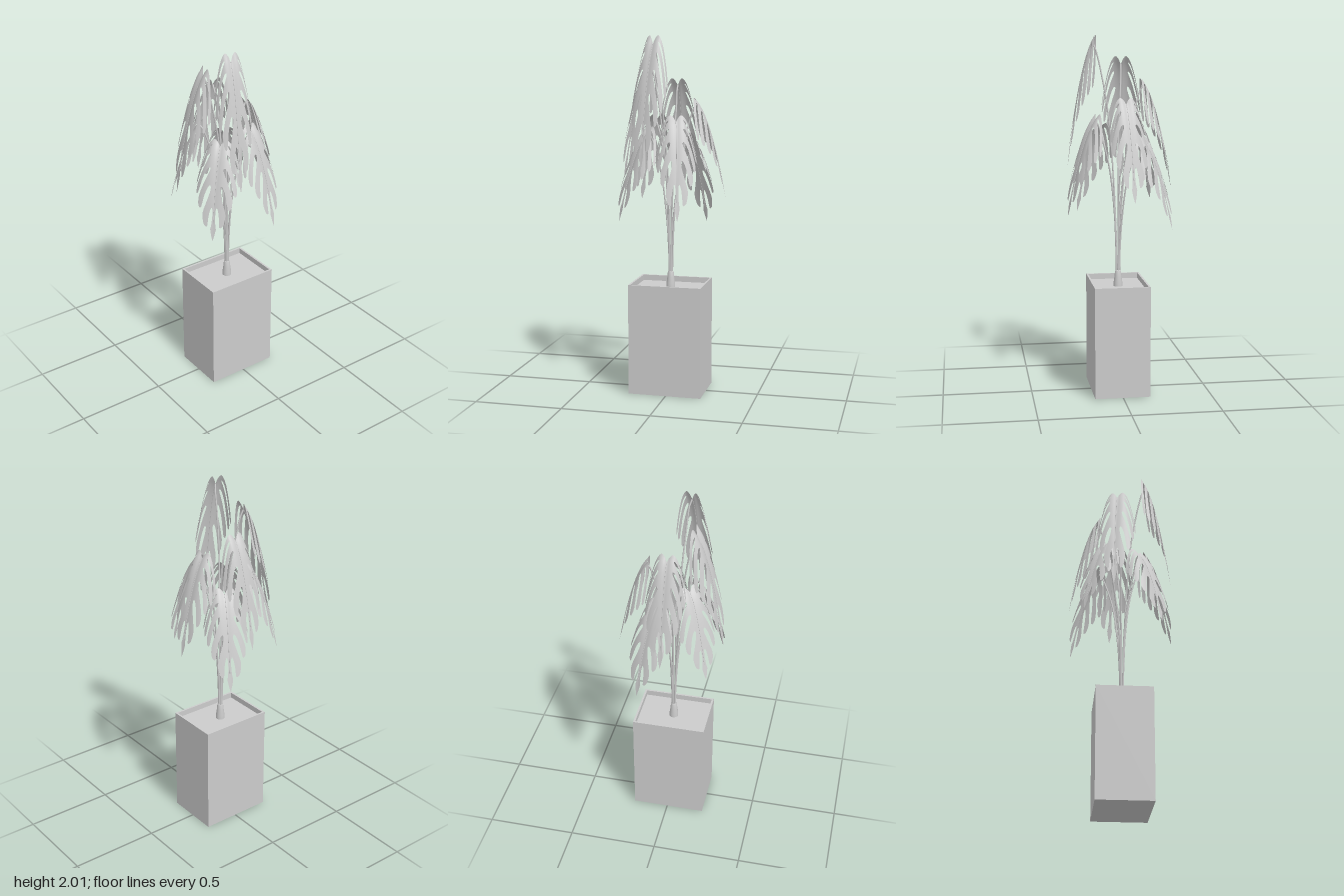
import * as THREE from 'three';
import { mergeVertices } from 'three/addons/utils/BufferGeometryUtils.js';

const grey = new THREE.MeshStandardMaterial({ color: 0xcccccc });
const leafGrey = new THREE.MeshStandardMaterial({ color: 0xcccccc, side: THREE.DoubleSide });

// Each leaf: [attach x, attach z, tip x, tip z, attach y, tip y]
const LEAVES = [
  [0, -0.14, 0.005, -0.3, 1.735, 1.16],
  [0.062, -0.125, 0.142, -0.284, 1.44, 0.94],
  [0.135, -0.025, 0.297, -0.05, 1.635, 1.11],
  [0.055, 0.135, 0.1, 0.295, 1.545, 1.02],
  [-0.075, 0.13, -0.11, 0.273, 1.965, 1.28],
  [-0.115, 0.09, -0.25, 0.205, 1.485, 1.0],
  [-0.135, -0.035, -0.297, -0.065, 1.85, 1.2],
  [-0.115, -0.1, -0.235, -0.222, 1.54, 1.07],
];
const LENGTH = 0.17;

// Lobe centre lines of half a leaf seen from above: root along the midrib, then
// control and tip as (sideways, outward). The first one only bounds the heart notch.
const LOBES = [
  [0, 0.035, -0.045, 0.1, -0.012],
  [0.002, 0.06, -0.026, 0.114, 0.015],
  [0.02, 0.064, 0.006, 0.114, 0.046],
  [0.046, 0.058, 0.044, 0.106, 0.082],
  [0.076, 0.046, 0.08, 0.087, 0.117],
  [0.106, 0.028, 0.116, 0.052, 0.15],
  [0.138, 0, 0.15, 0, 0.17],
].map(([d, cu, cd, u, e]) => new THREE.QuadraticBezierCurve(
  new THREE.Vector2(0, d), new THREE.Vector2(cu, cd), new THREE.Vector2(u, e)));

// Share of its sector a lobe fills: fused near the midrib, then a rounded slot and flared end
const FILL = [[0, 1], [0.12, 1], [0.24, 1], [0.33, 1], [0.37, 0.78], [0.43, 0.66], [0.52, 0.59],
  [0.63, 0.57], [0.75, 0.6], [0.86, 0.68], [0.94, 0.7], [0.98, 0.54], [1, 0.2]];

// Height of the drooping leaf surface, relative to where the stalk joins
function droop(u, d) {
  const along = d > 0 ? 1.2 * d + 13.5 * d * d : 1.5 * d;
  const taper = 1 - 0.7 * Math.max(d, 0) / LENGTH;
  return -along + taper * (1.5 * u - 29 * u * u);
}

function leafGeometry(length, drop) {
  const positions = [], index = [];
  const kx = length / LENGTH, ky = drop / 0.594;
  const across = [-1, -0.5, 0, 0.5, 1];
  for (const side of [1, -1]) {
    for (let i = 1; i < LOBES.length; i++) {
      const last = i === LOBES.length - 1;
      const cols = last ? across.slice(0, 3) : across;
      const start = positions.length / 3;
      FILL.forEach(([t, fill], row) => {
        const centre = LOBES[i].getPoint(t);
        const w = last ? Math.min(fill, 6 * (1 - t)) : fill;
        for (const v of cols) {
          const next = LOBES[v < 0 ? i - 1 : Math.min(i + 1, LOBES.length - 1)].getPoint(t);
          const p = centre.clone().lerp(next, 0.5 * Math.abs(v) * w);
          positions.push(side * p.x * kx, droop(p.x, p.y) * ky, p.y * kx);
        }
        if (row === 0) return;
        for (let c = 0; c < cols.length - 1; c++) {
          const b = start + row * cols.length + c, a = b - cols.length;
          if (side > 0) index.push(a, a + 1, b, a + 1, b + 1, b);
          else index.push(a, b, a + 1, a + 1, b, b + 1);
        }
      });
    }
  }
  const g = new THREE.BufferGeometry();
  g.setAttribute('position', new THREE.Float32BufferAttribute(positions, 3));
  g.setIndex(index);
  const welded = mergeVertices(g, 1e-5);
  welded.computeVertexNormals();
  return welded;
}

function mesh(name, geometry, parent, material = grey) {
  const m = new THREE.Mesh(geometry, material);
  m.name = name;
  parent.add(m);
  return m;
}

function rectangle(Type, x, z) {
  return new Type([[-x, -z], [x, -z], [x, z], [-x, z]].map(([a, b]) => new THREE.Vector2(a, b)));
}

export function createModel() {
  const model = new THREE.Group();
  model.name = 'pottedPlant';

  // Rectangular planter with open rim, floor and soil
  const planter = new THREE.Group();
  planter.name = 'planter';
  planter.position.set(-0.007, 0, 0.002);
  model.add(planter);
  const outline = rectangle(THREE.Shape, 0.208, 0.156);
  outline.holes.push(rectangle(THREE.Path, 0.197, 0.145));
  const walls = new THREE.ExtrudeGeometry(outline, { depth: 0.63, bevelEnabled: false });
  mesh('planterWalls', walls.rotateX(-Math.PI / 2), planter);
  mesh('planterFloor', new THREE.BoxGeometry(0.395, 0.02, 0.291), planter).position.y = 0.01;
  mesh('soil', new THREE.BoxGeometry(0.395, 0.02, 0.291), planter).position.y = 0.588;

  // Flared stump the stalks grow from
  const stump = [[0.026, 0.59], [0.025, 0.62], [0.02, 0.655], [0.017, 0.685], [0.012, 0.69], [0, 0.69]];
  mesh('stump', new THREE.LatheGeometry(stump.map(([r, y]) => new THREE.Vector2(r, y)), 16), model)
    .position.x = -0.007;

  LEAVES.forEach(([ax, az, tx, tz, ay, ty], n) => {
    // Wavy stalk, upright in the bundle and bending outward at the top
    const base = new THREE.Vector2(-0.007, 0);
    const out = new THREE.Vector2(ax, az).sub(base);
    const path = [[0.06, 0], [0.09, 0.2], [0.17, 0.42], [0.4, 0.7], [0.7, 0.89], [0.9, 0.98], [1, 1]];
    const points = path.map(([r, h], k) => {
      const wave = k > 1 && k < 6 ? 0.03 * Math.sin(k * 1.9 + n * 2) : 0;
      return new THREE.Vector3(base.x + out.x * r - out.y * wave, 0.66 + (ay - 0.66) * h,
        base.y + out.y * r + out.x * wave);
    });
    mesh('stalk' + (n + 1), new THREE.TubeGeometry(new THREE.CatmullRomCurve3(points), 32, 0.0045, 7), model);

    // Drooping split leaf with its midrib
    const leaf = new THREE.Group();
    leaf.name = 'leaf' + (n + 1);
    leaf.position.set(ax, ay, az);
    leaf.rotation.y = Math.atan2(tx - ax, tz - az);
    model.add(leaf);
    const length = Math.hypot(tx - ax, tz - az), drop = ay - ty;
    mesh('blade', leafGeometry(length, drop), leaf, leafGrey);
    const rib = [0, 0.03, 0.06, 0.09, 0.12, 0.15].map(d =>
      new THREE.Vector3(0, droop(0, d) * drop / 0.594 + 0.002, d * length / LENGTH));
    mesh('midrib', new THREE.TubeGeometry(new THREE.CatmullRomCurve3(rib), 16, 0.0015, 6), leaf);
  });
  return model;
}
